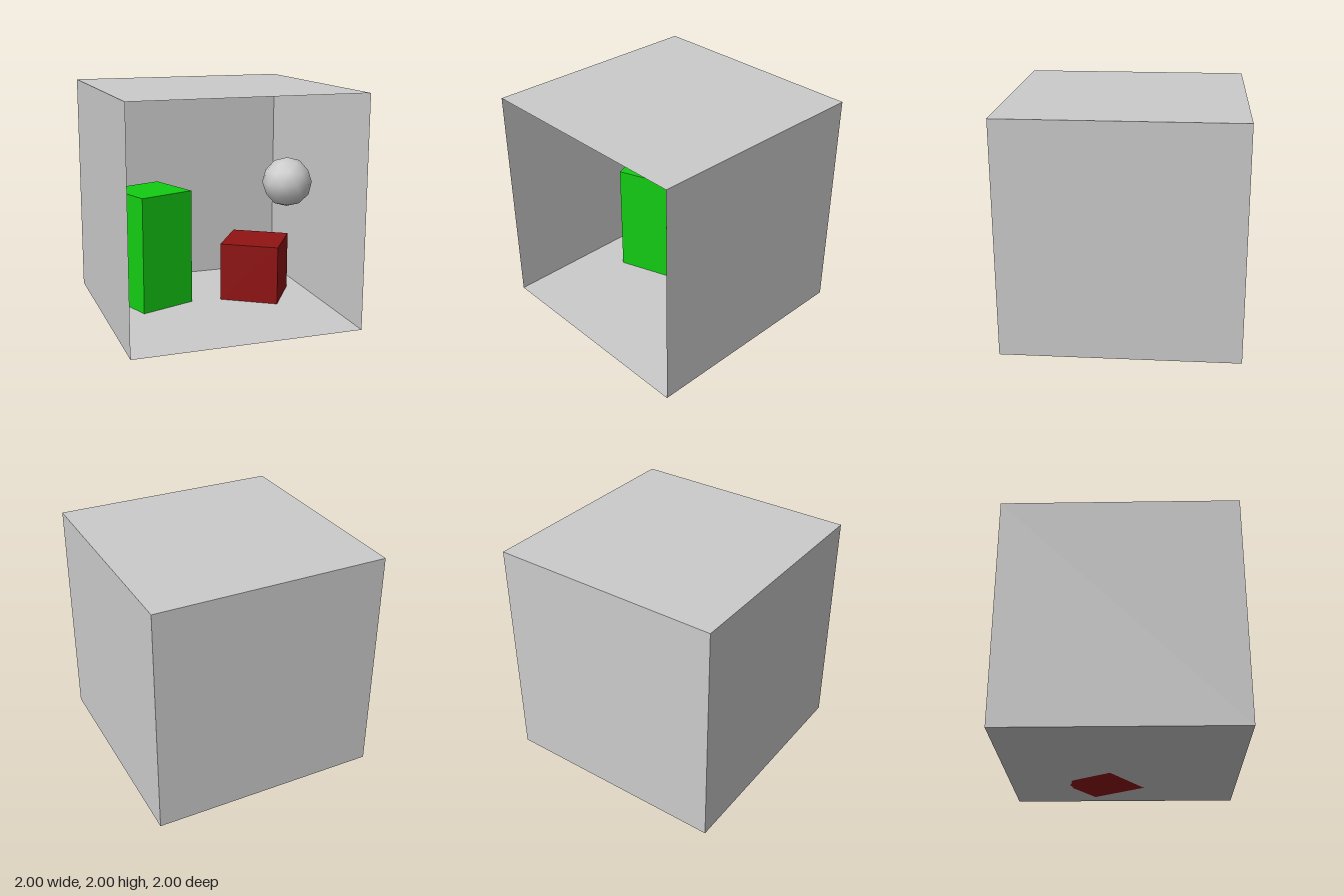
import * as THREE from 'three';

const grey = new THREE.MeshStandardMaterial({ color: 0xcccccc });
const wallGrey = new THREE.MeshStandardMaterial({ color: 0xcccccc, side: THREE.DoubleSide });
const green = new THREE.MeshStandardMaterial({ color: 0x13cc13 });
const red = new THREE.MeshStandardMaterial({ color: 0x911313 });

export function createModel() {
  const model = new THREE.Group();

  const add = (name, geometry, material, x, y, z) => {
    const mesh = new THREE.Mesh(geometry, material);
    mesh.name = name;
    mesh.position.set(x, y, z);
    model.add(mesh);
    return mesh;
  };

  // Thin room shell, open at the front, each panel facing inwards
  const panel = new THREE.PlaneGeometry(2, 2);
  const q = Math.PI / 2;
  add('floor', panel, wallGrey, 0, 0, 0).rotation.x = -q;
  add('ceiling', panel, wallGrey, 0, 2, 0).rotation.x = q;
  add('backWall', panel, wallGrey, 0, 1, -1);
  add('leftWall', panel, wallGrey, 1, 1, 0).rotation.y = -q;
  add('rightWall', panel, wallGrey, -1, 1, 0).rotation.y = q;

  // Two square blocks standing turned on the floor
  const block = (name, material, side, height, x, z, degrees) => {
    const geometry = new THREE.BoxGeometry(side, height, side);
    add(name, geometry, material, x, height / 2, z).rotation.y = THREE.MathUtils.degToRad(degrees);
  };
  block('tallBlock', green, 0.533, 1.05, -0.49, -0.298, 20);
  block('shortBlock', red, 0.535, 0.535, 0.49, -0.19, -32.8);

  // Floating smooth icosphere, turned so that one vertex points straight up
  const ball = new THREE.IcosahedronGeometry(0.217, 1);
  ball.rotateZ(-Math.atan(2 / (1 + Math.sqrt(5))));
  add('ball', ball, grey, 0.585, 1.174, 0.32);

  return model;
}
